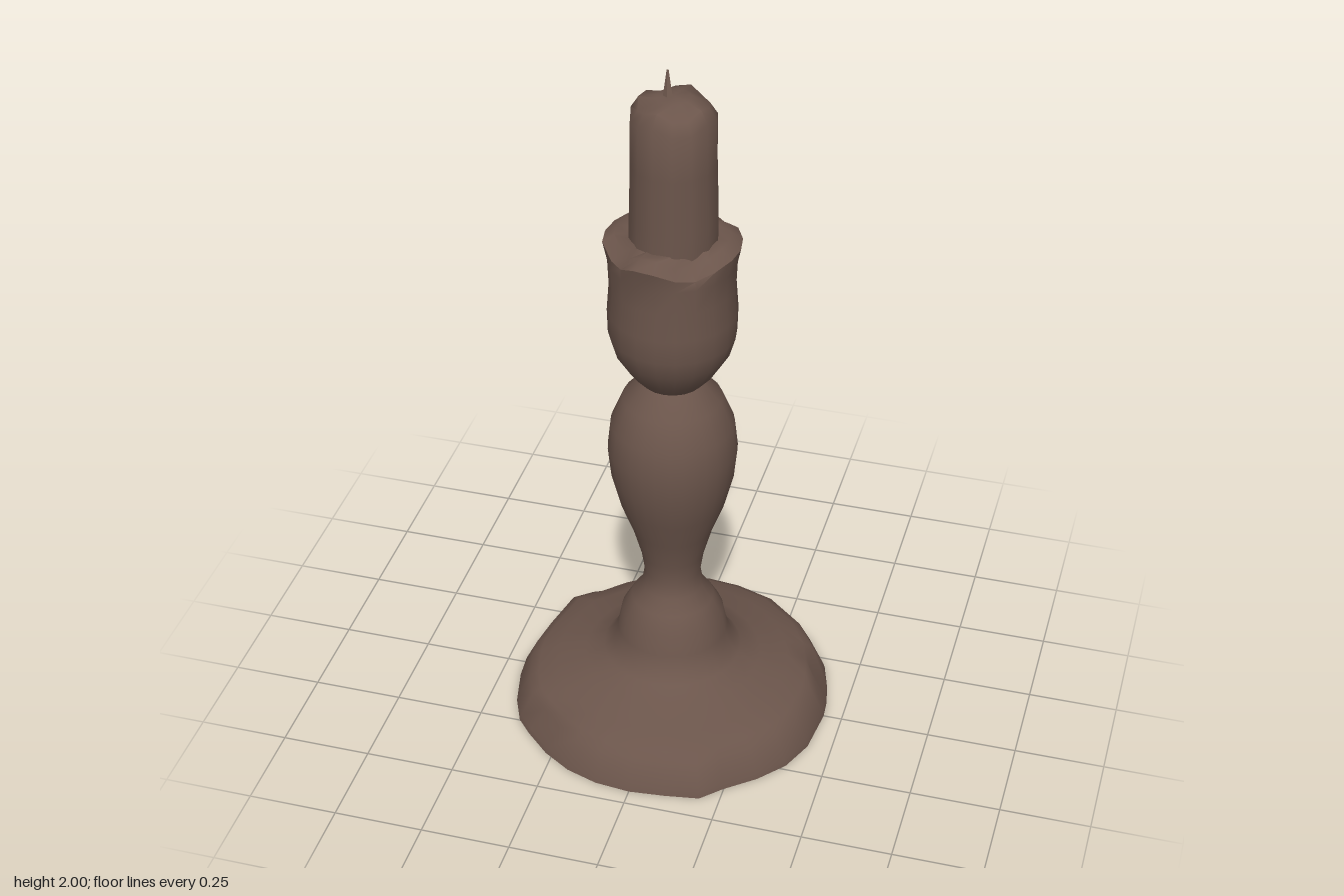
import * as THREE from 'three';
import { toCreasedNormals } from 'three/addons/utils/BufferGeometryUtils.js';

const brown = new THREE.MeshStandardMaterial({ color: 0x6b554b });
brown.name = 'old brown';

// Worn outline of the foot, as x, z pairs
const OUTLINE = [
  [0.45, 0], [0.435, 0.14], [0.395, 0.235], [0.33, 0.31], [0.25, 0.375], [0.195, 0.43], [0.1, 0.445],
  [0, 0.455], [-0.1, 0.445], [-0.19, 0.415], [-0.27, 0.365], [-0.34, 0.3], [-0.385, 0.25], [-0.42, 0.17],
  [-0.445, 0.06], [-0.45, 0], [-0.435, -0.1], [-0.405, -0.245], [-0.35, -0.29], [-0.27, -0.37],
  [-0.19, -0.415], [-0.1, -0.45], [0, -0.46], [0.1, -0.45], [0.22, -0.41], [0.34, -0.31],
  [0.405, -0.21], [0.43, -0.13], [0.445, -0.06],
];
const FOOT_ANGLES = OUTLINE.map(([x, z]) => Math.atan2(z, x));
const evenAngles = (n) => Array.from({ length: n }, (_, i) => (i / n) * Math.PI * 2);

// Skins rings of [radius, y] from bottom to top; shape(r, y, ring, side) may wear a point away
function loft(name, profile, angles, shape = (r, y) => [r, y], crease = 0.85) {
  const pos = [], index = [], n = angles.length;
  profile.forEach(([r0, y0], i) => angles.forEach((a, j) => {
    const [r, y] = shape(r0, y0, i, j);
    pos.push(r * Math.cos(a), y, r * Math.sin(a));
  }));
  for (let i = 0; i < profile.length - 1; i++) {
    for (let j = 0; j < n; j++) {
      const a = i * n + j, b = i * n + (j + 1) % n, c = a + n, d = b + n;
      if (profile[i][0] > 0) index.push(a, c, b);
      if (profile[i + 1][0] > 0) index.push(b, c, d);
    }
  }
  const g = new THREE.BufferGeometry();
  g.setAttribute('position', new THREE.Float32BufferAttribute(pos, 3));
  g.setIndex(index);
  const mesh = new THREE.Mesh(toCreasedNormals(g, crease), brown);
  mesh.name = name;
  return mesh;
}

export function createModel() {
  const model = new THREE.Group();
  model.name = 'candlestick';

  // Foot and baluster stem, with an irregular rim and three chips in its edge
  const chips = [10, 11, 19, 27];
  model.add(loft('footAndStem', [
    [0, 0.003], [0.45, 0.003], [0.445, 0.02], [0.41, 0.09], [0.385, 0.105], [0.33, 0.127], [0.25, 0.153],
    [0.195, 0.18], [0.17, 0.21], [0.155, 0.25], [0.143, 0.31], [0.115, 0.36], [0.086, 0.4], [0.078, 0.45],
    [0.087, 0.51], [0.112, 0.6], [0.145, 0.69], [0.168, 0.78], [0.177, 0.87], [0.168, 0.95],
    [0.135, 1.03], [0.083, 1.09],
  ], FOOT_ANGLES, (r, y, i, j) => {
    const worn = THREE.MathUtils.smoothstep(r, 0.2, 0.42);
    const rim = Math.hypot(...OUTLINE[j]) / 0.452;
    const chip = i === 3 && chips.includes(j) ? 1 : 0;
    return [r * (1 + (rim - 1) * worn) - 0.012 * chip, y - 0.018 * chip];
  }));

  // Candle cup with a chipped lip
  const dips = { 2: 0.012, 3: 0.03, 4: 0.022, 7: 0.024, 8: 0.028, 13: 0.01, 17: 0.012 };
  model.add(loft('candleCup', [
    [0.083, 1.085], [0.118, 1.125], [0.155, 1.185], [0.171, 1.24], [0.173, 1.31], [0.167, 1.39],
    [0.17, 1.46], [0.182, 1.515], [0.15, 1.537], [0.118, 1.54], [0.1, 1.53],
  ], evenAngles(20), (r, y, i, j) => {
    const d = i === 7 || i === 8 ? dips[j] || 0 : 0;
    return [r - d * 0.5, y - d];
  }));

  // Candle stub with a softly melted, uneven top
  const candle = loft('candle', [
    [0.118, 1.5], [0.117, 1.6], [0.113, 1.75], [0.112, 1.885], [0.092, 1.917], [0.045, 1.937], [0, 1.94],
  ], evenAngles(14), (r, y, i, j) =>
    [r, i === 3 || i === 4 ? y + 0.012 * Math.sin(j * 1.9) : y]);
  candle.position.set(0.005, 0, 0.007);
  model.add(candle);

  // Thin leaning wick
  const wick = new THREE.Mesh(new THREE.CylinderGeometry(0.003, 0.018, 0.086, 3).toNonIndexed(), brown);
  wick.geometry.computeVertexNormals();
  wick.name = 'wick';
  wick.scale.z = 0.4;
  wick.position.set(-0.012, 1.96, 0.005);
  wick.rotation.set(-0.4, 0, 0.1);
  model.add(wick);

  return model;
}
